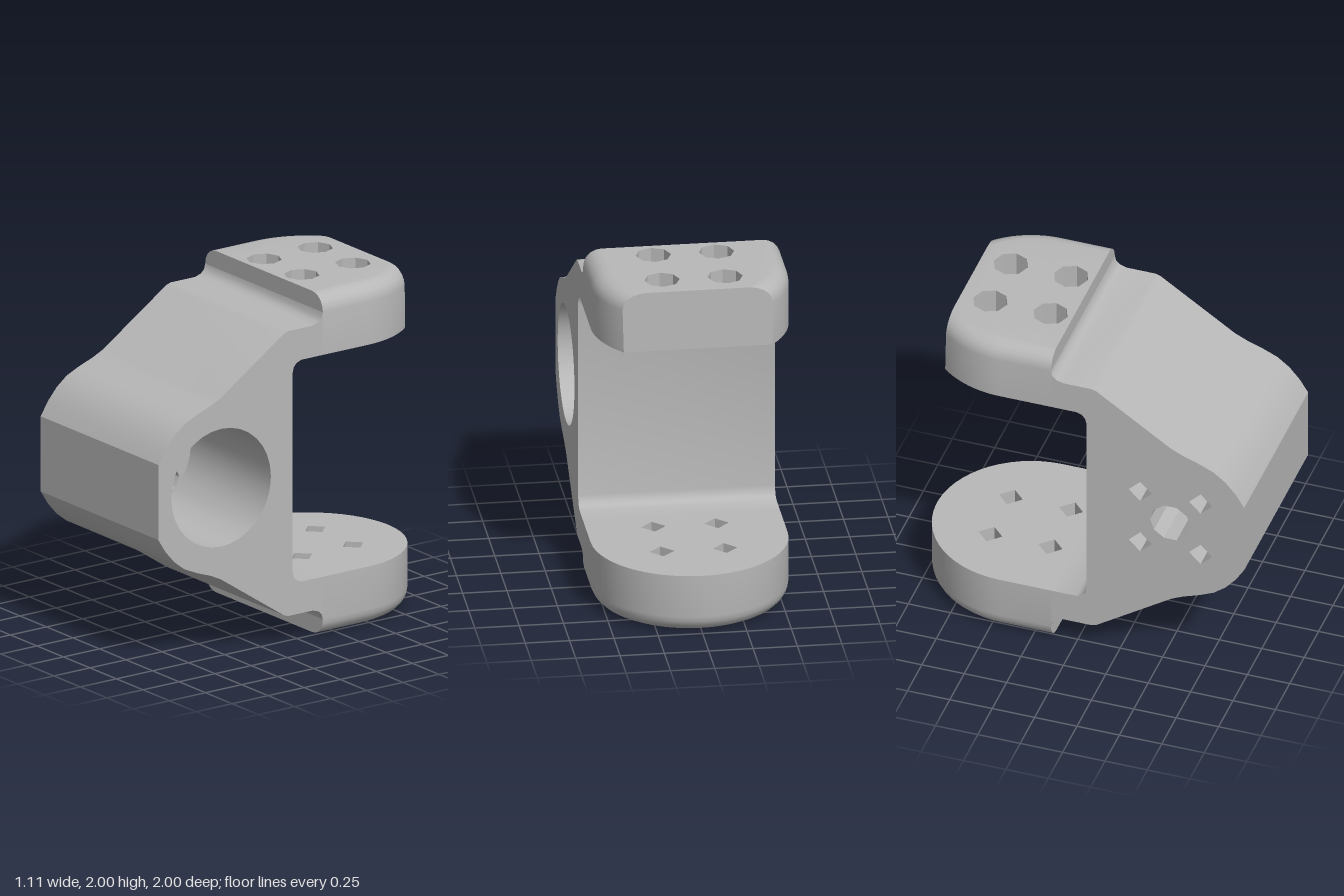
import * as THREE from 'three';
import { mergeGeometries, toCreasedNormals } from 'three/addons/utils/BufferGeometryUtils.js';

const HALF = 0.555; // half width of the bracket

// Closed counter-clockwise ring of n points
const ring = (cx, cy, r, n) => Array.from({ length: n }, (_, i) => {
  const a = (i / n) * Math.PI * 2;
  return [cx + r * Math.cos(a), cy + r * Math.sin(a)];
});

// Square with its edge midpoints, matching an eight-sided ring
const diamond = (cx, cy, r) => ring(cx, cy, r, 8).map(([x, y], i) => {
  const k = i % 2 ? Math.SQRT1_2 : 1;
  return [cx + (x - cx) * k, cy + (y - cy) * k];
});

// Wall through rows of { pts, h }; rising rows face outward, falling rows face inward
function wall(rows) {
  const pos = [], index = [], n = rows[0].pts.length;
  rows.forEach(({ pts, h }) => pts.forEach(([x, y]) => pos.push(x, y, h)));
  for (let k = 0; k < rows.length - 1; k++) {
    for (let i = 0; i < n; i++) {
      const a = k * n + i, b = k * n + (i + 1) % n;
      index.push(a, b, b + n, a, b + n, a + n);
    }
  }
  const g = new THREE.BufferGeometry();
  g.setAttribute('position', new THREE.Float32BufferAttribute(pos, 3));
  g.setIndex(index);
  return g;
}

// Flat face with holes at height h
function cap(outline, holes, h, up = true) {
  const vec = (pts) => pts.map(([x, y]) => new THREE.Vector2(x, y));
  const shape = new THREE.Shape(vec(outline));
  shape.holes = holes.map((p) => new THREE.Path(vec(p)));
  const g = new THREE.ShapeGeometry(shape).translate(0, 0, h);
  g.deleteAttribute('uv');
  g.deleteAttribute('normal');
  if (!up) g.index.array.reverse();
  return g;
}

// Counterbored screw hole: wide octagon above, narrow square below
const screwHole = (cx, cy, r, small, top, step, bottom) => {
  const wide = ring(cx, cy, r, 8), narrow = diamond(cx, cy, small);
  return {
    wide, narrow,
    wall: wall([{ pts: wide, h: top }, { pts: wide, h: step },
      { pts: narrow, h: step }, { pts: narrow, h: bottom }]),
  };
};

const finish = (parts) => toCreasedNormals(mergeGeometries(parts).toNonIndexed(), 0.55);

// Side-profile body with a deep bore; drawn in (-z, y), depth along x
function bodyGeometry() {
  const upper = [
    [-0.07, 1.58], [-0.062, 1.615], [-0.042, 1.638], [-0.01, 1.65], [0.14, 1.65], [0.14, 1.9],
    [0.132, 1.87], [0.11, 1.848], [0.07, 1.835], [-0.1, 1.835], [-0.13, 1.825], [-0.57, 1.53],
    [-0.64, 1.497], [-0.73, 1.465], [-0.82, 1.425], [-0.89, 1.37], [-0.95, 1.3], [-1, 1.22],
  ];
  const outline = [...upper, ...upper.map(([u, v]) => [u, 2 - v]).reverse()];
  const cu = -0.565, cv = 1.005, floor = -0.2, d = 0.178;
  const bore = ring(cu, cv, 0.345, 32), centre = ring(cu, cv, 0.12, 10);
  const screws = [];
  for (const su of [-1, 1]) for (const sv of [-1, 1]) {
    screws.push(screwHole(cu + su * d, cv + sv * d, 0.085, 0.068, floor, -0.42, -HALF));
  }
  return finish([
    wall([{ pts: outline, h: -HALF }, { pts: outline, h: HALF }]),
    cap(outline, [bore], HALF),
    cap(outline, [centre, ...screws.map((s) => s.narrow)], -HALF, false),
    wall([{ pts: bore, h: HALF }, { pts: bore, h: floor }]),
    cap(bore, [centre, ...screws.map((s) => s.wide)], floor),
    wall([{ pts: centre, h: floor }, { pts: centre, h: -HALF }]),
    ...screws.map((s) => s.wall),
  ]).rotateY(Math.PI / 2);
}

// Flange outline in (x, -z): straight front, round back, optionally cut off at `cut`
function flangeOutline(inset, cut) {
  const w = HALF - inset, mid = 0.445, n = 14;
  const a = Math.min(Math.asin(Math.min(1, (cut - mid) / w)), Math.PI / 2 - 0.04);
  const right = Array.from({ length: n + 1 }, (_, i) => {
    const t = (a * i) / n;
    return [w * Math.cos(t), mid + w * Math.sin(t)];
  });
  const left = right.map(([x, y]) => [-x, y]).reverse();
  return [[-w, 0.14], [w, 0.14], ...right, ...left];
}

// Flange plate with a rounded outer rim and four screw holes
function flangeGeometry(cutInner, cutOuter) {
  const inner = 1.65, outer = 2, r = 0.1;
  const rows = [{ pts: flangeOutline(0, cutInner), h: inner }];
  for (let i = 0; i <= 5; i++) {
    const t = (i / 5) * Math.PI / 2;
    const h = outer - r + r * Math.sin(t);
    const cut = THREE.MathUtils.mapLinear(h, inner, outer, cutInner, cutOuter);
    rows.push({ pts: flangeOutline(r * (1 - Math.cos(t)), cut), h });
  }
  const screws = [];
  for (const x of [-0.178, 0.178]) for (const v of [0.27, 0.625]) {
    screws.push(screwHole(x, v, 0.1, 0.07, outer, inner + 0.12, inner));
  }
  return finish([
    wall(rows),
    cap(rows.at(-1).pts, screws.map((s) => s.wide), outer),
    cap(rows[0].pts, screws.map((s) => s.narrow), inner, false),
    ...screws.map((s) => s.wall),
  ]).rotateX(-Math.PI / 2);
}

export function createModel() {
  const group = new THREE.Group();
  group.name = 'bracket';
  const grey = new THREE.MeshStandardMaterial({ color: 0xb8b8b8 });
  grey.name = 'plain grey';
  const add = (name, geometry) => {
    const mesh = new THREE.Mesh(geometry, grey);
    mesh.name = name;
    group.add(mesh);
    return mesh;
  };

  add('body', bodyGeometry());
  add('topFlange', flangeGeometry(0.81, 0.8));

  // The lower flange is turned over and keeps its full round end
  const bottom = add('bottomFlange', flangeGeometry(2, 2));
  bottom.rotation.z = Math.PI;
  bottom.position.y = 2;
  return group;
}
